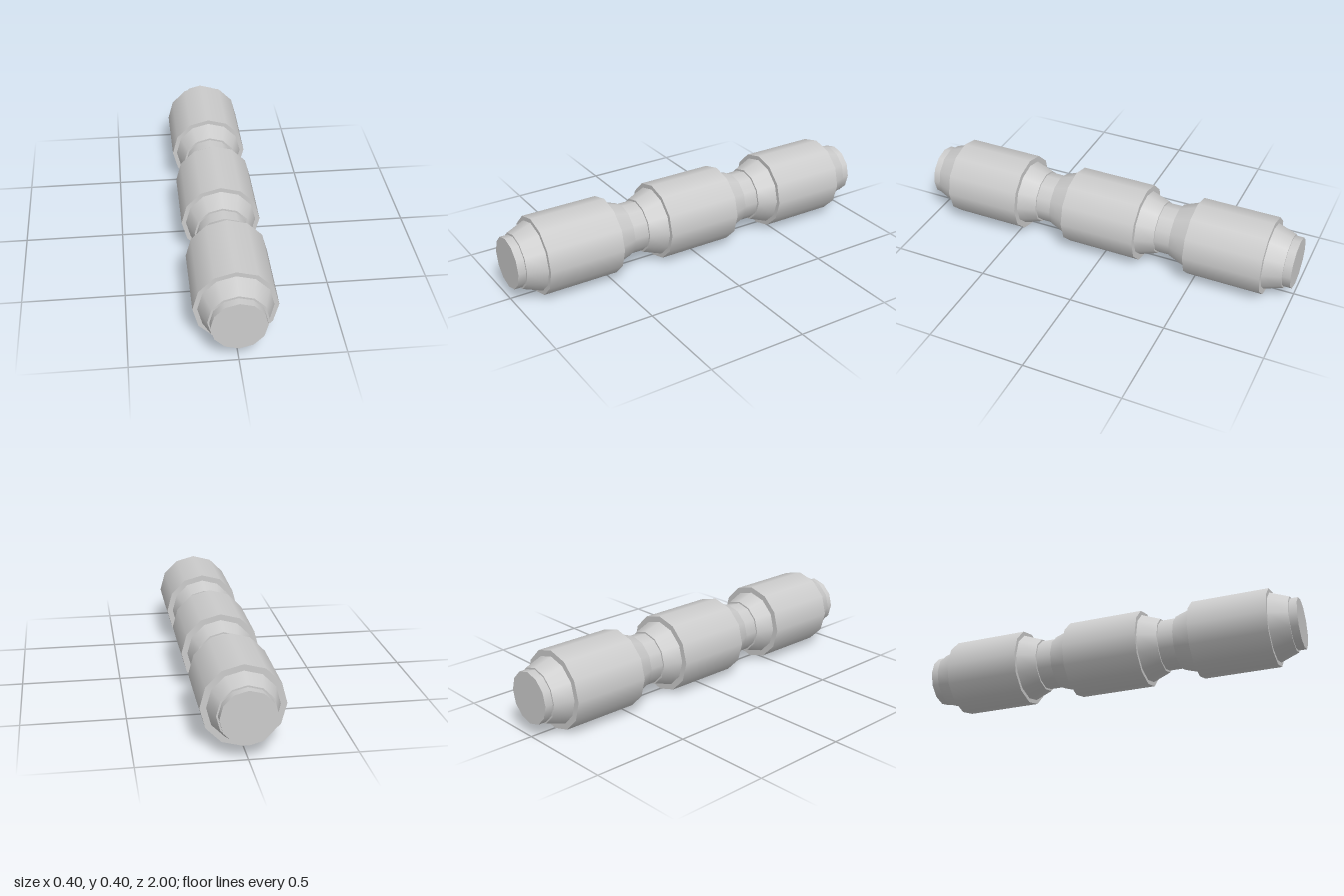
import * as THREE from 'three';

const SIDES = 12;
const AXIS_Y = 0.198;

export function createModel() {
  const group = new THREE.Group();
  const material = new THREE.MeshStandardMaterial({ color: 0xcccccc });

  // Capped section along z, from zBack to zFront
  function section(name, zBack, zFront, rBack, rFront, parent) {
    const geometry = new THREE.CylinderGeometry(rFront, rBack, zFront - zBack, SIDES);
    geometry.rotateX(Math.PI / 2);
    const mesh = new THREE.Mesh(geometry, material);
    mesh.name = name;
    mesh.position.z = (zBack + zFront) / 2;
    parent.add(mesh);
  }

  // Core rod running the full length
  const body = new THREE.Group();
  body.name = 'segmentedRod';
  body.position.y = AXIS_Y;
  group.add(body);
  section('coreRod', -1, 1, 0.13, 0.13, body);

  // Three drums, each with a tapered collar at both ends
  ['backSegment', 'middleSegment', 'frontSegment'].forEach((name, i) => {
    const segment = new THREE.Group();
    segment.name = name;
    segment.position.z = (i - 1) * 0.667;
    section('drum', -0.198, 0.198, 0.198, 0.198, segment);
    section('frontCollar', 0.198, 0.293, 0.176, 0.14, segment);
    section('backCollar', -0.292, -0.198, 0.138, 0.168, segment);
    body.add(segment);
  });

  return group;
}
